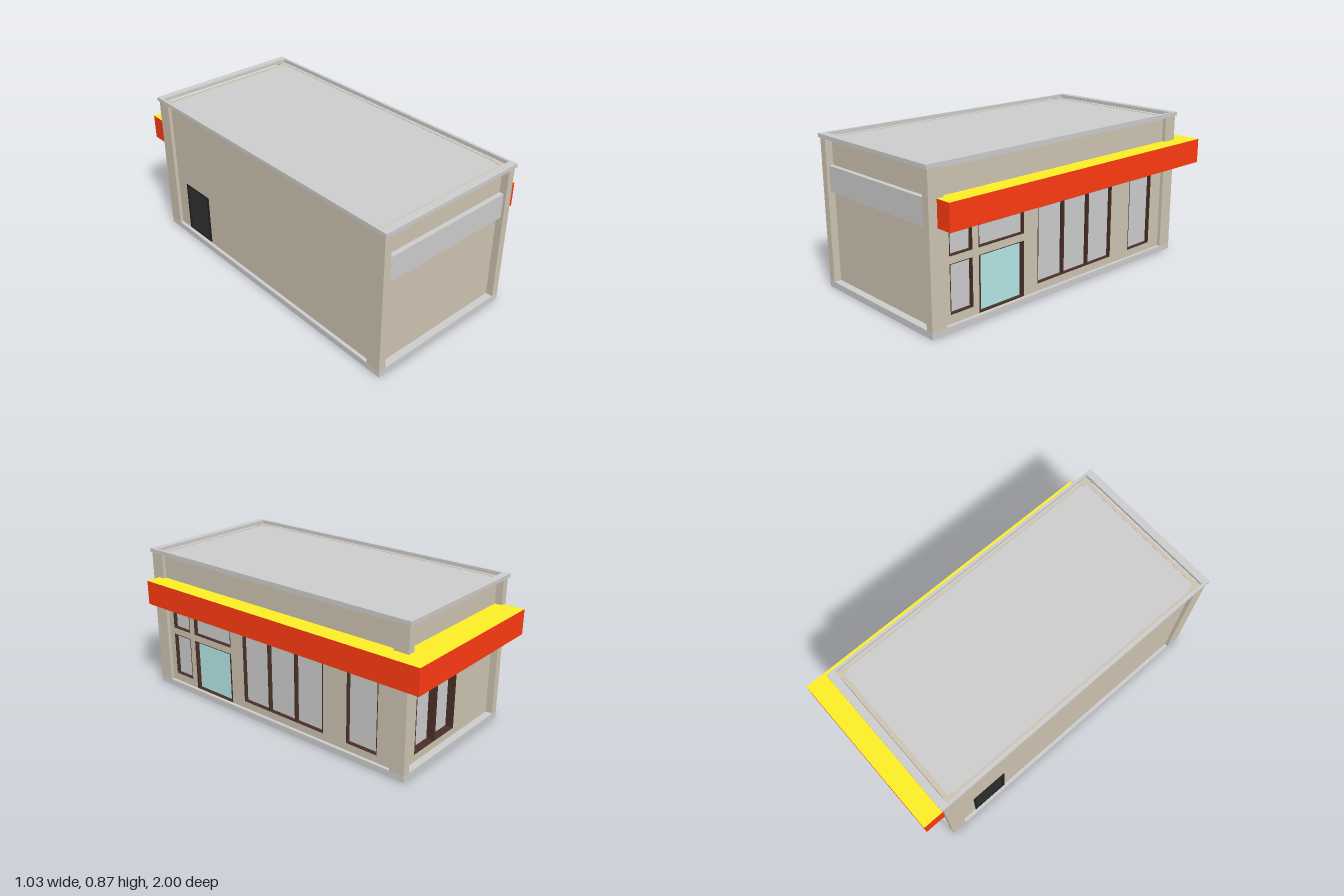
import * as THREE from 'three';

const mat = (color) => new THREE.MeshStandardMaterial({ color, side: THREE.DoubleSide });
const GREY = mat(0xcccccc), BEIGE = mat(0xccc2b0), RED = mat(0xff3a12), YELLOW = mat(0xfcee26);
const BROWN = mat(0x4a2f28), GLASS = mat(0xcccccc), TEAL = mat(0xb4e6e6), BLACK = mat(0x242424);

// Outer faces of the corner posts, and how far the walls sit back
const X0 = -0.51, X1 = 0.42, Z0 = -0.875, Z1 = 0.99;
const INX = 0.02, INZ = 0.042, BASE = 0.037, TOP = 0.85;

function add(parent, name, geometry, material) {
  const mesh = new THREE.Mesh(geometry, material);
  mesh.name = name;
  parent.add(mesh);
  return mesh;
}

// Box given by its limits on each axis
function box(parent, name, material, x0, x1, y0, y1, z0, z1) {
  const mesh = add(parent, name, new THREE.BoxGeometry(x1 - x0, y1 - y0, z1 - z0), material);
  mesh.position.set((x0 + x1) / 2, (y0 + y1) / 2, (z0 + z1) / 2);
  return mesh;
}

const corners = (a, b, c, d) => [[a, c], [b, c], [b, d], [a, d]].map((p) => new THREE.Vector2(...p));

// Rectangular plate with rectangular holes, each [u0, u1, v0, v1]
function plate(outer, holes, depth) {
  const shape = new THREE.Shape(corners(...outer));
  holes.forEach((h) => shape.holes.push(new THREE.Path(corners(...h).reverse())));
  return new THREE.ExtrudeGeometry(shape, { depth, bevelEnabled: false });
}

// Horizontal rectangular ring
function ring(parent, name, x0, x1, z0, z1, bx, bz, y, h) {
  const g = plate([x0, x1, -z1, -z0], [[x0 + bx, x1 - bx, -z1 + bz, -z0 - bz]], h);
  g.rotateX(-Math.PI / 2).translate(0, y, 0);
  return add(parent, name, g, GREY);
}

// Wall facing local +z, turned to its side of the building
function wall(parent, name, turn, dist, u0, u1, thick, openings = []) {
  const side = new THREE.Group();
  side.name = name;
  side.rotation.y = turn;
  parent.add(side);
  const g = plate([u0, u1, BASE - 0.012, TOP], openings.map((o) => o.rect), thick);
  add(side, name + 'Panel', g.translate(0, 0, dist - thick), BEIGE);
  openings.forEach((o) => o.fill(side, o.rect, dist));
  return side;
}

// Deep window frame with mullions and a set-back pane
const windowFill = (name, depth, panes = 1, border = 0.005, glass = GLASS) => (side, [a, b, c, d], dist) => {
  const unit = new THREE.Group();
  unit.name = name;
  side.add(unit);
  const frame = plate([a, b, c, d], [[a + border, b - border, c + 0.004, d - 0.004]], depth);
  add(unit, name + 'Frame', frame.translate(0, 0, dist - depth), BROWN);
  const back = dist - depth;
  box(unit, name + 'Pane', glass, a, b, c, d, back + 0.001, back + 0.005);
  for (let i = 1; i < panes; i++) {
    const u = a + ((b - a) * i) / panes;
    box(unit, name + 'Mullion', BROWN, u - border, u + border, c, d, back, dist);
  }
};

// Louvred vent with slanted slats
function louvreFill(side, [a, b, c, d], dist) {
  const vent = new THREE.Group();
  vent.name = 'louvreVent';
  side.add(vent);
  const frame = plate([a, b, c, d], [[a + 0.016, b - 0.016, c + 0.012, d - 0.012]], 0.03);
  add(vent, 'louvreFrame', frame.translate(0, 0, dist - 0.025), BLACK);
  box(vent, 'louvreBacking', BLACK, a + 0.01, b - 0.01, c + 0.01, d - 0.01, dist - 0.025, dist - 0.022);
  const count = 11;
  for (let i = 0; i < count; i++) {
    const y = c + 0.012 + ((d - c - 0.024) * (i + 0.5)) / count;
    const slat = box(vent, 'louvreSlat', BLACK, a + 0.014, b - 0.014, y - 0.002, y + 0.002, dist - 0.022, dist);
    slat.rotation.x = 0.7;
  }
}

export function createModel() {
  const model = new THREE.Group();
  model.name = 'shopBuilding';

  // Base frame, roof and cornice
  ring(model, 'baseFrame', X0, X1, Z0, Z1, 0.034, 0.068, 0, BASE);
  ring(model, 'cornice', X0 - 0.006, X1 + 0.006, Z0 - 0.011, Z1 + 0.01, 0.016, 0.044, TOP, 0.022);
  box(model, 'roof', GREY, X0 + 0.008, X1 - 0.008, TOP - 0.012, TOP - 0.002, Z0 + 0.038, Z1 - 0.038);

  // Corner posts
  for (const x of [X0, X1 - 0.044])
    for (const z of [Z0, Z1 - 0.09])
      box(model, 'cornerPost', BEIGE, x, x + 0.044, BASE, TOP, z, z + 0.09);

  // Street side, u = -z
  const q = Math.PI / 2;
  const rightWindow = windowFill('sideWindow', 0.028);
  wall(model, 'rightWall', q, X1 - INX, -Z1 + INZ, -Z0 - INZ, 0.012, [
    { rect: [-0.86, -0.715, 0.39, 0.51], fill: rightWindow },
    { rect: [-0.86, -0.715, 0.085, 0.35], fill: rightWindow },
    { rect: [-0.675, -0.365, 0.39, 0.51], fill: rightWindow },
    { rect: [-0.675, -0.365, 0.038, 0.35], fill: windowFill('door', 0.028, 1, 0.01, TEAL) },
    { rect: [-0.265, 0.33, 0.08, 0.51], fill: windowFill('showWindow', 0.028, 3) },
    { rect: [0.49, 0.69, 0.08, 0.51], fill: rightWindow },
  ]);

  // Back, u = -x
  wall(model, 'backWall', 2 * q, -Z0 - INZ, -X1 + INX, -X0 - INX, 0.022, [
    { rect: [-0.27, 0.105, 0.08, 0.51], fill: windowFill('backWindow', 0.05, 2, 0.007) },
  ]);

  // Plain side with the vent, u = z
  wall(model, 'leftWall', -q, -X0 - INX, Z0 + INZ, Z1 - INZ, 0.012, [
    { rect: [-0.69, -0.465, 0.045, 0.355], fill: louvreFill },
  ]);

  // Front with a raised sign band
  wall(model, 'frontWall', 0, Z1 - INZ, X0 + INX, X1 - INX, 0.022);
  box(model, 'frontBand', GREY, X0 + 0.044, X1 - 0.044, 0.555, 0.70, 0.915, 0.975);

  // L-shaped canopy round the street side and back
  const outline = [[0.4, -0.94], [0.512, -0.94], [0.512, 1], [-0.49, 1], [-0.49, 0.833], [0.4, 0.833]];
  const canopy = new THREE.ExtrudeGeometry(
    new THREE.Shape(outline.map((p) => new THREE.Vector2(...p))), { depth: 0.145, bevelEnabled: false });
  add(model, 'canopy', canopy.rotateX(-q).translate(0, 0.556, 0), [YELLOW, RED]);

  return model;
}
